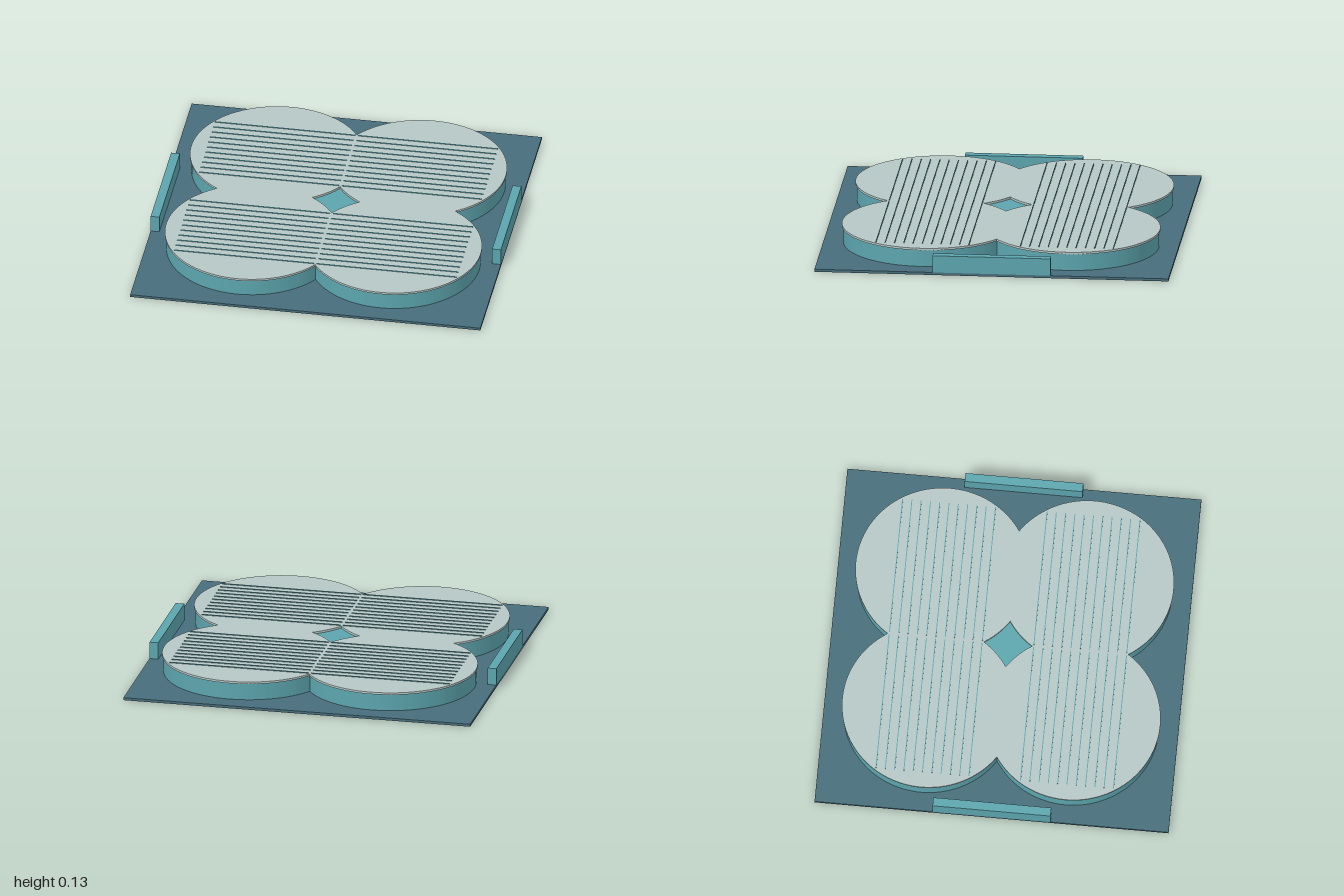
import * as THREE from 'three';

const C = 0.408; // offset of each round lobe from the centre

const teal = new THREE.MeshStandardMaterial({ color: 0x5ca5ae });
teal.name = 'teal';
const paleGrey = new THREE.MeshStandardMaterial({ color: 0xb6c7c6 });
paleGrey.name = 'paleGrey';
const slate = new THREE.MeshStandardMaterial({ color: 0x476d7b });
slate.name = 'slate';

function box(name, w, h, d, x, y0, z, material) {
  const mesh = new THREE.Mesh(new THREE.BoxGeometry(w, h, d), material);
  mesh.name = name;
  mesh.position.set(x, y0 + h / 2, z);
  return mesh;
}

// Outline of four overlapping circles, optionally open in the middle
function cloverShape(r, open) {
  const b = Math.asin(C / r);
  const shape = new THREE.Shape();
  const hole = new THREE.Path();
  const quarter = Math.PI / 2;
  for (let i = 0; i < 4; i++) {
    const turn = i * quarter;
    const a = turn + quarter / 2;
    const x = Math.SQRT2 * C * Math.cos(a);
    const y = Math.SQRT2 * C * Math.sin(a);
    shape.absarc(x, y, r, turn - b, turn + quarter + b, false);
    hole.absarc(x, y, r, turn + Math.PI + b, turn + 3 * quarter - b, true);
  }
  if (open) shape.holes.push(hole);
  return shape;
}

function clover(name, r, y0, h, open, material) {
  const geometry = new THREE.ExtrudeGeometry(cloverShape(r, open), {
    depth: h, bevelEnabled: false, curveSegments: 36,
  });
  geometry.rotateX(-Math.PI / 2);
  const mesh = new THREE.Mesh(geometry, material);
  mesh.name = name;
  mesh.position.y = y0;
  return mesh;
}

export function createModel() {
  const model = new THREE.Group();
  model.name = 'cloverPlatform';

  // Ground plate, solid drum and overhanging lid with a central opening
  model.add(box('basePlate', 2, 0.015, 2, 0, 0, 0, slate));
  model.add(clover('drum', 0.482, 0.015, 0.097, false, teal));
  model.add(clover('lid', 0.49, 0.112, 0.012, true, paleGrey));

  // Low walls at both sides
  for (const side of [-1, 1]) {
    model.add(box(side > 0 ? 'leftWall' : 'rightWall', 0.05, 0.098, 0.666, side * 0.975, 0.015, 0, teal));
  }

  // Eleven thin ribs across each lobe
  for (const sx of [-1, 1]) {
    for (const sz of [-1, 1]) {
      const ribs = new THREE.Group();
      ribs.name = 'ribs';
      for (let i = -5; i <= 5; i++) {
        ribs.add(box('rib', 0.8, 0.005, 0.005, sx * C, 0.123, sz * C + i * 0.0525, teal));
      }
      model.add(ribs);
    }
  }
  return model;
}
